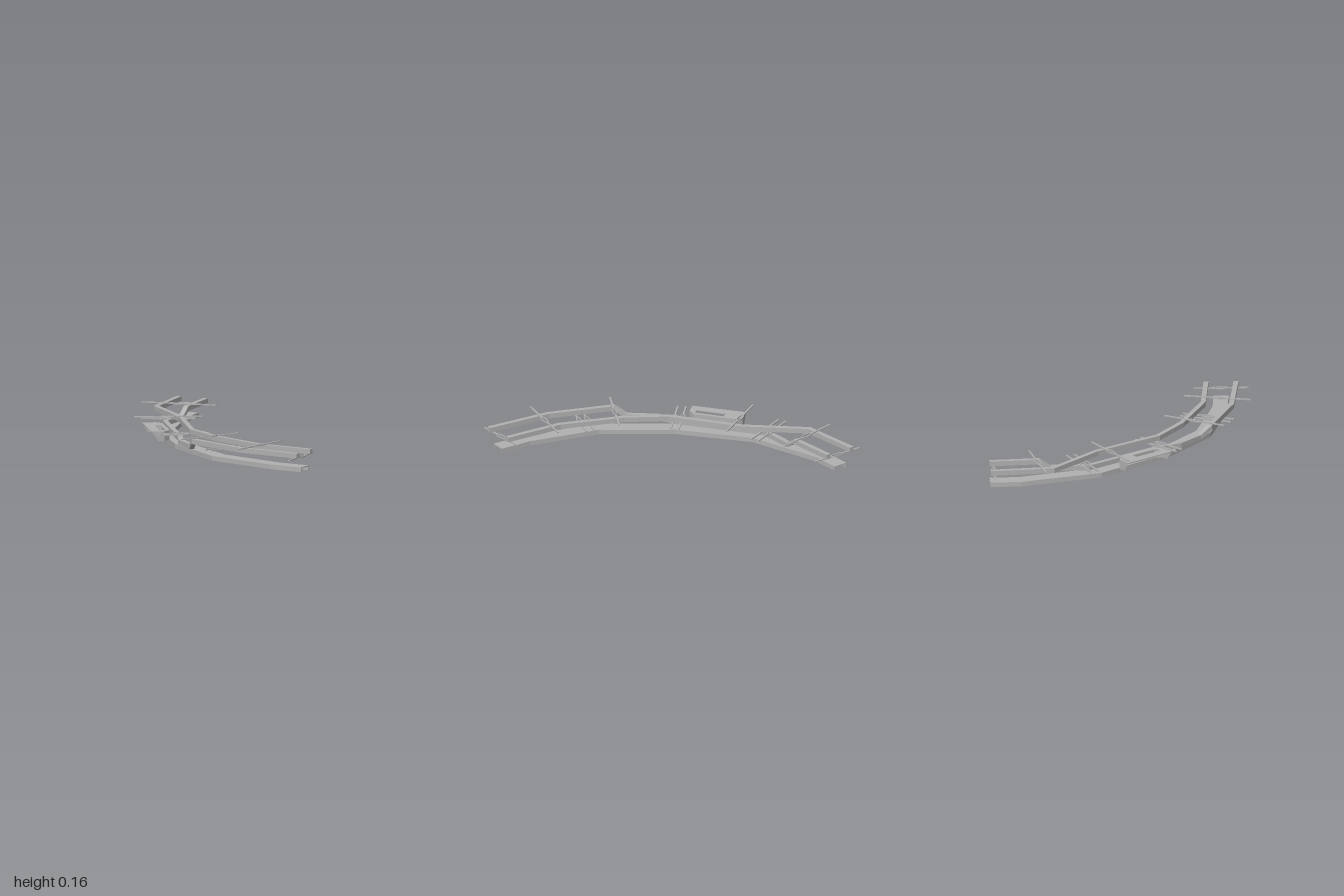
import * as THREE from 'three';

const steel = new THREE.MeshStandardMaterial({ color: 0xb0b0b0, side: THREE.DoubleSide });
steel.name = 'grey steel';

function add(parent, geometry, name) {
  const mesh = new THREE.Mesh(geometry, steel);
  mesh.name = name;
  parent.add(mesh);
  return mesh;
}

// Sweeps a closed (side, height) profile along [x, y, z] points with mitred corners.
function sweep(path, profile) {
  const dirs = path.slice(1).map((p, i) =>
    new THREE.Vector2(p[0] - path[i][0], p[2] - path[i][2]).normalize());
  const rings = path.map((p, i) => {
    const a = dirs[Math.max(i - 1, 0)], b = dirs[Math.min(i, dirs.length - 1)];
    const mid = a.clone().add(b).normalize();
    const stretch = 1 / mid.dot(a);
    return profile.map(([u, v]) =>
      [p[0] - mid.y * u * stretch, p[1] + v, p[2] + mid.x * u * stretch]);
  });
  const pos = [];
  const tri = (...corners) => corners.forEach((c) => pos.push(...c));
  for (let k = 0; k < rings.length - 1; k++) {
    const a = rings[k], b = rings[k + 1];
    for (let i = 0; i < a.length; i++) {
      const j = (i + 1) % a.length;
      tri(a[i], b[i], a[j]);
      tri(a[j], b[i], b[j]);
    }
  }
  const first = rings[0], last = rings[rings.length - 1];
  const caps = THREE.ShapeUtils.triangulateShape(profile.map(([u, v]) => new THREE.Vector2(u, v)), []);
  for (const [a, b, c] of caps) {
    tri(first[a], first[b], first[c]);
    tri(last[a], last[c], last[b]);
  }
  const g = new THREE.BufferGeometry();
  g.setAttribute('position', new THREE.Float32BufferAttribute(pos, 3));
  g.computeVertexNormals();
  return g;
}

// Flat four-cornered panel.
function panel(a, b, c, d) {
  const g = new THREE.BufferGeometry();
  g.setAttribute('position', new THREE.Float32BufferAttribute([a, b, c, a, c, d].flat(), 3));
  g.computeVertexNormals();
  return g;
}

// Crossbar with an open oval eye at its middle.
function crossbar(x1, z1, x2, z2, y) {
  const bar = new THREE.Group();
  bar.name = 'crossbar';
  const length = Math.hypot(x2 - x1, z2 - z1), half = 0.06, arm = length / 2 - half;
  for (const s of [-1, 1]) {
    const rod = add(bar, new THREE.BoxGeometry(arm + 0.008, 0.008, 0.013), 'crossbarArm');
    rod.position.x = s * (half + arm / 2 - 0.004);
  }
  const eye = new THREE.Shape().absellipse(0, 0, half, 0.021, 0, Math.PI * 2);
  eye.holes.push(new THREE.Path().absellipse(0, 0, half - 0.011, 0.013, 0, Math.PI * 2));
  const g = new THREE.ExtrudeGeometry(eye, { depth: 0.008, bevelEnabled: false, curveSegments: 10 });
  add(bar, g.rotateX(-Math.PI / 2).translate(0, -0.004, 0), 'crossbarEye');
  bar.position.set((x1 + x2) / 2, y, (z1 + z2) / 2);
  bar.rotation.y = -Math.atan2(z2 - z1, x2 - x1);
  return bar;
}

export function createModel() {
  const model = new THREE.Group();
  model.name = 'curvedTrack';

  // Lower channel, open underneath
  const w = 0.055, t = 0.008, h = 0.035;
  const channel = [[-w, 0], [-w + t, 0], [-w + t, h - t], [w - t, h - t], [w - t, 0], [w, 0], [w, h], [-w, h]];
  const channelPath = [[-0.79, -1], [-0.785, -0.78], [-0.62, -0.2], [-0.25, 0.27], [0.21, 0.62], [0.75, 0.77], [1, 0.79]];
  add(model, sweep(channelPath.map(([x, z]) => [x, 0, z]), channel), 'lowerChannel');

  // Two rails: one stays high, the other dips and passes beneath it
  const r = 0.018;
  const square = [[-r, -r], [r, -r], [r, r], [-r, r]];
  const high = 0.129, low = 0.075;
  const upper = [[-0.895, -1], [-0.855, -0.54], [-0.49, -0.2], [-0.175, 0.265], [0.1, 0.45], [0.55, 0.635], [1, 0.68]];
  add(model, sweep(upper.map(([x, z]) => [x, high, z]), square), 'highRail');
  add(model, sweep([
    [-0.68, high, -1], [-0.657, high, -0.63], [-0.655, low, -0.55], [-0.652, low, -0.27],
    [-0.26, low, 0.28], [-0.19, low, 0.425], [-0.025, low, 0.575],
    [0.03, high, 0.655], [0.5, high, 0.84], [1, high, 0.9],
  ], square), 'dippingRail');

  // Crossbars above and below the rails
  const above = 0.156, below = 0.105;
  for (const bar of [
    [-0.99, -0.97, -0.58, -0.97, below],
    [-1, -0.6, -0.5, -0.7, above],
    [-0.85, -0.265, -0.475, -0.42, below],
    [-0.825, -0.21, -0.45, -0.365, below],
    [-0.765, 0.02, -0.33, -0.23, above],
    [-0.43, 0.39, -0.14, 0.1, below],
    [-0.385, 0.43, -0.095, 0.14, below],
    [-0.015, 0.765, 0.23, 0.335, above],
    [0.21, 0.825, 0.365, 0.455, below],
    [0.27, 0.85, 0.42, 0.48, below],
    [0.55, 0.985, 0.665, 0.5, above],
    [0.97, 0.99, 0.97, 0.585, below],
  ]) model.add(crossbar(...bar));

  // Side booth: slotted roof, inner walls and tapering end walls
  const booth = new THREE.Group();
  booth.name = 'sideBooth';
  model.add(booth);
  const v = ([x, z]) => new THREE.Vector2(x, -z);
  const outline = [[-0.7, 0.02], [-0.62, -0.04], [-0.56, -0.03], [-0.375, 0.225], [-0.385, 0.29], [-0.46, 0.35]];
  const roof = new THREE.Shape(outline.map(v));
  roof.holes.push(new THREE.Path([[-0.565, 0.085], [-0.525, 0.06], [-0.4, 0.24], [-0.435, 0.27]].map(v)));
  const roofGeometry = new THREE.ExtrudeGeometry(roof, { depth: 0.006, bevelEnabled: false });
  add(booth, roofGeometry.rotateX(-Math.PI / 2).translate(0, 0.112, 0), 'boothRoof');
  const top = 0.114, bottom = 0.045;
  const foot = outline.slice();
  foot[0] = [-0.665, -0.006];
  foot[5] = [-0.42, 0.318];
  for (let i = 0; i < 5; i++) {
    const [a, b, c, d] = [outline[i], outline[i + 1], foot[i + 1], foot[i]];
    add(booth, panel([a[0], top, a[1]], [b[0], top, b[1]], [c[0], bottom, c[1]], [d[0], bottom, d[1]]), 'boothWall');
  }
  return model;
}
